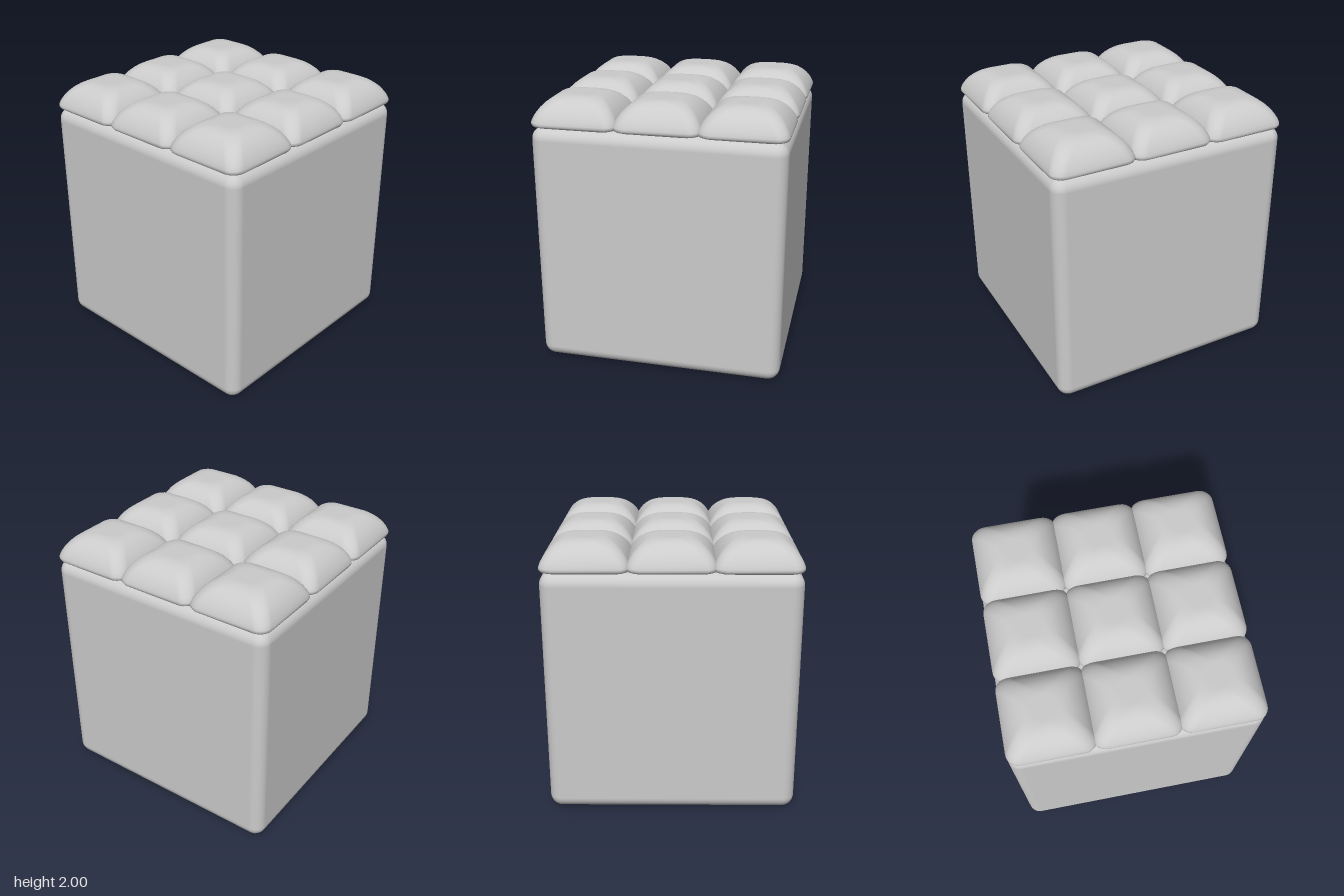
import * as THREE from 'three';
import { RoundedBoxGeometry } from 'three/addons/geometries/RoundedBoxGeometry.js';

const material = new THREE.MeshStandardMaterial({ color: 0xcccccc });

// Stacked rounded-square rings, from bottom to top; profile holds [half width, y]
function cushionGeometry(profile, cornerRadius, cornerSteps) {
  const positions = [];
  const index = [];
  const count = 4 * (cornerSteps + 1);
  for (const [half, y] of profile) {
    const r = Math.min(cornerRadius, half);
    for (let corner = 0; corner < 4; corner++) {
      const middle = (corner + 0.5) * Math.PI / 2;
      const cx = Math.sign(Math.cos(middle)) * (half - r);
      const cz = Math.sign(Math.sin(middle)) * (half - r);
      for (let s = 0; s <= cornerSteps; s++) {
        const a = (corner + s / cornerSteps) * Math.PI / 2;
        positions.push(cx + r * Math.cos(a), y, cz + r * Math.sin(a));
      }
    }
  }
  for (let i = 0; i < profile.length - 1; i++) {
    for (let j = 0; j < count; j++) {
      const a = i * count + j;
      const b = i * count + (j + 1) % count;
      index.push(a, a + count, b, b, a + count, b + count);
    }
  }
  const geometry = new THREE.BufferGeometry();
  geometry.setAttribute('position', new THREE.Float32BufferAttribute(positions, 3));
  geometry.setIndex(index);
  geometry.computeVertexNormals();
  return geometry;
}

export function createModel() {
  const group = new THREE.Group();
  group.name = 'tuftedPouf';

  // Soft-edged cube body
  const body = new THREE.Mesh(new RoundedBoxGeometry(1.8, 1.795, 1.8, 5, 0.09), material);
  body.name = 'body';
  body.position.y = 0.8975;
  group.add(body);

  // Domed pad: rolled lower edge, rounded shoulder, flat top
  const pad = cushionGeometry([
    [0, 1.793], [0.27, 1.793], [0.29, 1.795], [0.304, 1.802], [0.311, 1.815], [0.31, 1.83],
    [0.3, 1.857], [0.283, 1.888], [0.26, 1.92], [0.232, 1.948], [0.2, 1.972],
    [0.17, 1.987], [0.14, 1.996], [0.11, 2], [0.09, 2], [0, 2],
  ], 0.09, 6);

  // Three by three grid of slightly overlapping pads
  const cushions = new THREE.Group();
  cushions.name = 'cushions';
  for (const x of [-0.59, 0, 0.59]) {
    for (const z of [-0.59, 0, 0.59]) {
      const cushion = new THREE.Mesh(pad, material);
      cushion.name = 'cushion';
      cushion.position.set(x, 0, z);
      cushions.add(cushion);
    }
  }
  group.add(cushions);
  return group;
}
